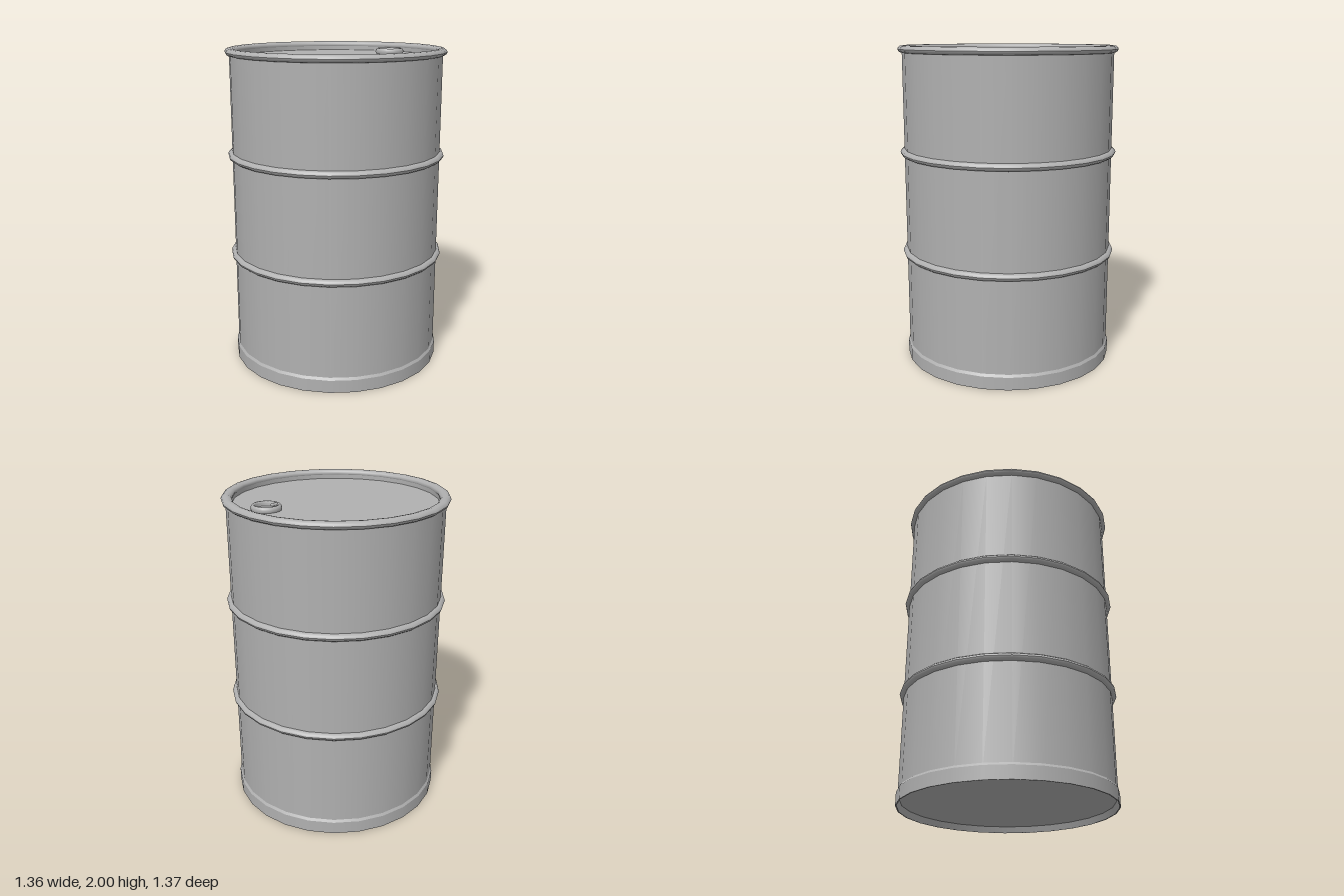
import * as THREE from 'three';

const SIDES = 26;

export function createModel() {
  const model = new THREE.Group();
  const steel = new THREE.MeshStandardMaterial({ color: 0xb0b0b0 });
  steel.name = 'grey steel';
  steel.side = THREE.DoubleSide;

  const add = (name, geometry, x = 0, y = 0, z = 0, parent = model) => {
    const mesh = new THREE.Mesh(geometry, steel);
    mesh.name = name;
    mesh.position.set(x, y, z);
    parent.add(mesh);
    return mesh;
  };
  // Open ring wall between two heights, smooth round its side
  const wall = (rTop, rBottom, y0, y1) =>
    new THREE.CylinderGeometry(rTop, rBottom, y1 - y0, SIDES, 1, true).translate(0, (y0 + y1) / 2, 0);
  // Flat disc with its corners lined up with the walls
  const disc = (r, up) =>
    new THREE.CircleGeometry(r, SIDES, Math.PI / 2).rotateX(up ? -Math.PI / 2 : Math.PI / 2);
  // Rounded hoop with an oval section, turned from a closed profile
  const hoop = (r, rx, ry) => {
    const points = [];
    for (let i = 0; i <= 12; i++) {
      const a = (i / 12) * Math.PI * 2;
      points.push(new THREE.Vector2(r + rx * Math.cos(a), ry * Math.sin(a)));
    }
    return new THREE.LatheGeometry(points, SIDES);
  };

  // Drum body
  add('body', wall(0.657, 0.657, 0.04, 1.977));
  add('lid', disc(0.64, true), 0, 1.943, 0);
  add('lidWall', wall(0.622, 0.622, 1.943, 1.977));

  // Top rim and the two rolling hoops
  add('topRim', hoop(0.651, 0.032, 0.023), 0, 1.977, 0);
  add('upperHoop', hoop(0.651, 0.032, 0.024), 0, 1.342, 0);
  add('lowerHoop', hoop(0.651, 0.032, 0.024), 0, 0.7, 0);

  // Base band with a chamfered top and a recessed floor
  const base = new THREE.Group();
  base.name = 'base';
  model.add(base);
  add('baseBand', wall(0.667, 0.667, 0, 0.08), 0, 0, 0, base);
  add('baseChamfer', wall(0.657, 0.667, 0.08, 0.095), 0, 0, 0, base);
  add('baseLip', wall(0.667, 0.66, 0, 0.001), 0, 0, 0, base);
  add('baseInnerWall', wall(0.645, 0.662, 0, 0.038), 0, 0, 0, base);
  add('floor', disc(0.645, false), 0, 0.038, 0, base);

  // Filler bung on the lid
  const bung = new THREE.Group();
  bung.name = 'bung';
  bung.position.set(0.447, 1.943, 0);
  model.add(bung);
  const collar = [[0.088, 0], [0.092, 0.012], [0.088, 0.025], [0.079, 0.033], [0.071, 0.031], [0.067, 0.022], [0.067, 0.004]]
    .map(([x, y]) => new THREE.Vector2(x, y));
  add('bungCollar', new THREE.LatheGeometry(collar, 20), 0, 0, 0, bung);
  add('bungPlug', disc(0.068, true), 0, 0.005, 0, bung);
  const tab = add('bungTab', new THREE.CapsuleGeometry(0.01, 0.026, 4, 8).rotateZ(Math.PI / 2), -0.053, 0.022, 0.007, bung);
  tab.rotation.y = 0.1;

  return model;
}
